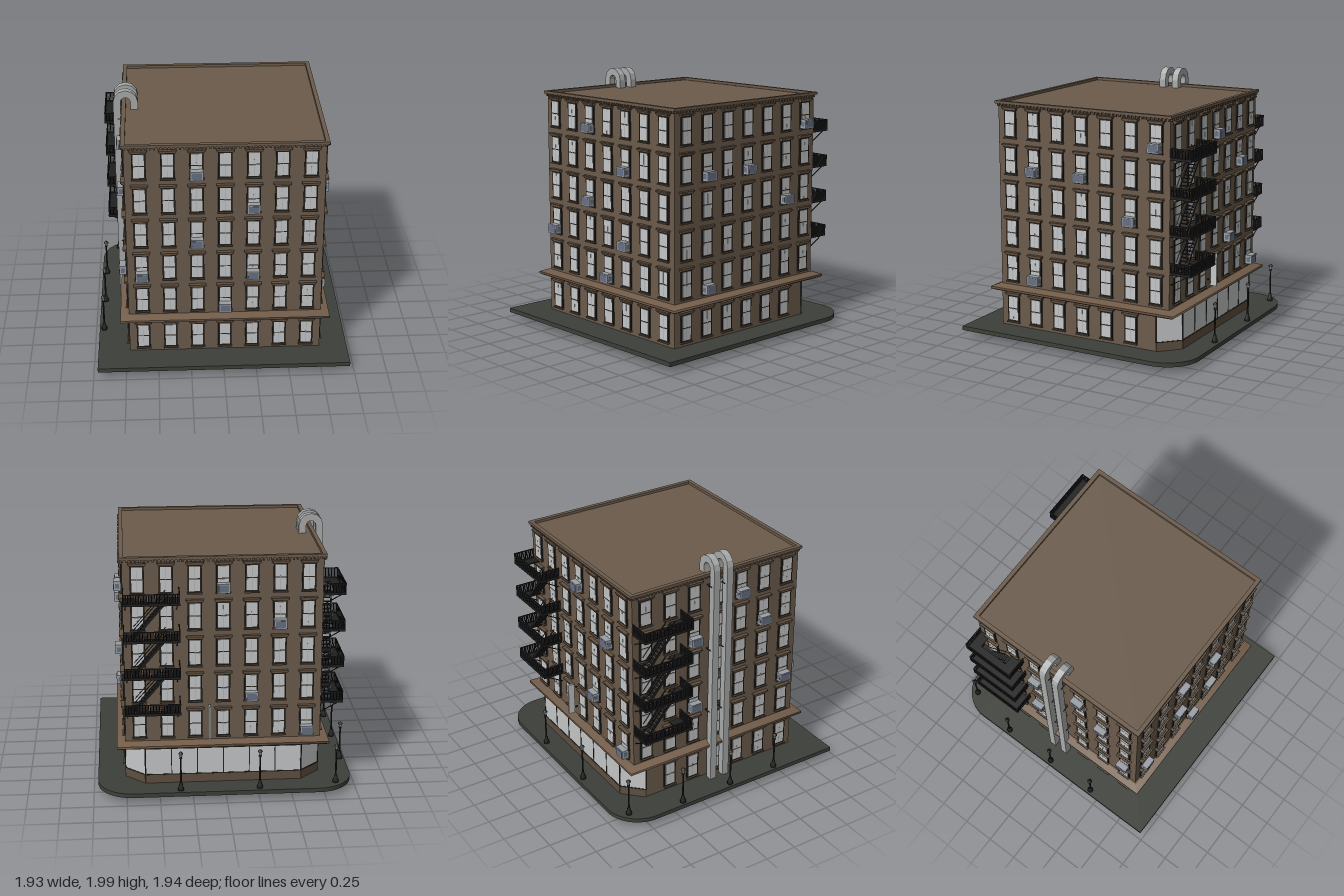
import * as THREE from 'three';
import { mergeGeometries } from 'three/addons/utils/BufferGeometryUtils.js';

const mat = (name, color) => {
  const m = new THREE.MeshStandardMaterial({ color });
  m.name = name;
  return m;
};

export function createModel() {
  const model = new THREE.Group();
  model.name = 'apartmentBlock';
  const brick = mat('brick', 0x6b5b4b), trim = mat('trim', 0x5f4f40), ledge = mat('ledge', 0x735d4a);
  const paving = mat('paving', 0x3d4039), glass = mat('glass', 0xc6c7c8), frame = mat('frame', 0x25231f);
  const iron = mat('iron', 0x1f1f1f), casing = mat('casing', 0x9a9fa5), grille = mat('grille', 0x667084);
  const metal = mat('metal', 0xa9abaa);

  const CX = 0.015, CZ = -0.01, WALL = 0.737; // building centre and half width
  const STEP = 0.2095, FLOOR = 0.2835;

  const box = (w, h, d, x, y, z) => new THREE.BoxGeometry(w, h, d).translate(x, y, z);
  const span = (x0, x1, y0, y1, z0, z1) =>
    box(x1 - x0, y1 - y0, z1 - z0, (x0 + x1) / 2, (y0 + y1) / 2, (z0 + z1) / 2);
  const add = (parent, name, material, geos) => {
    const mesh = new THREE.Mesh(Array.isArray(geos) ? mergeGeometries(geos) : geos, material);
    mesh.name = name;
    parent.add(mesh);
    return mesh;
  };
  // thin bar between two points
  const bar = (a, b, w, d) => {
    const p = new THREE.Vector3(...a), q = new THREE.Vector3(...b);
    const g = new THREE.BoxGeometry(w, d, p.distanceTo(q));
    g.applyMatrix4(new THREE.Matrix4().lookAt(q, p, new THREE.Vector3(0, 1, 0)));
    return g.translate((p.x + q.x) / 2, (p.y + q.y) / 2, (p.z + q.z) / 2);
  };
  // square block tapering from width w0 to w1
  const taper = (w0, w1, y0, y1) =>
    new THREE.CylinderGeometry(w1 * Math.SQRT1_2, w0 * Math.SQRT1_2, y1 - y0, 4, 1)
      .rotateY(Math.PI / 4).toNonIndexed().translate(CX, (y0 + y1) / 2, CZ);
  // floor plan (x, -z) raised from y0 to y1
  const raise = (shape, y0, y1) =>
    new THREE.ExtrudeGeometry(shape, { depth: y1 - y0, bevelEnabled: false, curveSegments: 10 })
      .rotateX(-Math.PI / 2).translate(0, y0, 0);

  // Pavement with two rounded corners at the back
  const plan = new THREE.Shape();
  plan.moveTo(-0.967, -0.967).lineTo(0.967, -0.967).lineTo(0.967, 0.70);
  plan.absarc(0.697, 0.70, 0.27, 0, Math.PI / 2);
  plan.lineTo(-0.697, 0.97);
  plan.absarc(-0.697, 0.70, 0.27, Math.PI / 2, Math.PI);
  plan.closePath();
  add(model, 'pavement', paving, raise(plan, 0.06, 0.093));

  // Fittings under the pavement
  add(model, 'undersidePlate', iron, [box(0.8, 0.006, 0.8, 0, 0.058, 0), box(0.035, 0.02, 0.035, 0, 0.05, 0)]);
  add(model, 'undersideBox', glass, new THREE.CylinderGeometry(0.095, 0.08, 0.05, 4)
    .rotateY(Math.PI / 4).toNonIndexed().translate(-0.57, 0.035, -0.44));
  const strips = [span(-0.14, 0.2, 0.045, 0.049, -0.72, -0.68), span(0.13, 0.2, 0.045, 0.049, -0.68, -0.59),
    span(-0.14, -0.07, 0.045, 0.049, -0.68, -0.62)];
  for (let i = 0; i < 8; i++)
    for (let j = 0; j < 4; j++) strips.push(box(0.03, 0.004, 0.018, -0.55 + i * 0.045, 0.047, -0.72 + j * 0.035));
  add(model, 'undersideStrips', casing, strips);

  // Ground floor with the two back corners cut off
  const cutR = [0.752, -0.64], backR = [0.605, -0.782], backL = [-0.575, -0.782], cutL = [-0.722, -0.64];
  const ground = new THREE.Shape();
  [[-0.722, 0.727], [0.752, 0.727], cutR, backR, backL, cutL]
    .forEach(([x, z], i) => (i ? ground.lineTo(x, -z) : ground.moveTo(x, -z)));
  add(model, 'groundFloor', brick, raise(ground, 0.093, 0.39));
  add(model, 'upperFloors', brick, box(WALL * 2, 1.45, WALL * 2, CX, 1.115, CZ));

  // Shop windows along the back and its cut corners
  const panes = [], bars = [], plinth = [];
  const shop = (p, q, n) => {
    const dx = q[0] - p[0], dz = q[1] - p[1], len = Math.hypot(dx, dz), ang = Math.atan2(-dz, dx);
    const place = (g) => g.rotateY(ang).translate((p[0] + q[0]) / 2, 0, (p[1] + q[1]) / 2);
    panes.push(place(box(len, 0.215, 0.008, 0, 0.267, 0)));
    plinth.push(place(box(len, 0.065, 0.016, 0, 0.126, 0)));
    bars.push(place(box(len, 0.007, 0.014, 0, 0.162, 0)), place(box(len, 0.007, 0.014, 0, 0.374, 0)));
    for (let i = 0; i <= n; i++) bars.push(place(box(0.007, 0.215, 0.014, (i / n - 0.5) * len, 0.267, 0)));
  };
  shop(cutR, backR, 1);
  shop(backR, backL, 6);
  shop(backL, cutL, 1);
  add(model, 'shopGlass', glass, panes);
  add(model, 'shopFrame', frame, bars);
  add(model, 'shopPlinth', trim, plinth);

  // Ledge above the ground floor, and roof cornice
  add(model, 'ledge', ledge, [taper(1.57, 1.605, 0.378, 0.388), taper(1.605, 1.605, 0.388, 0.405),
    taper(1.605, 1.5, 0.405, 0.426)]);
  add(model, 'roof', brick, box(1.46, 0.01, 1.46, CX, 1.84, CZ));
  const rim = new THREE.Shape(), hole = new THREE.Path();
  const square = (s, r) => s.moveTo(CX - r, -CZ - r).lineTo(CX + r, -CZ - r).lineTo(CX + r, -CZ + r)
    .lineTo(CX - r, -CZ + r).closePath();
  square(rim, 0.757);
  square(hole, 0.725);
  rim.holes.push(hole);
  add(model, 'cornice', brick, raise(rim, 1.846, 1.867));

  // One wall's windows, cornice teeth and cooling units, seen from outside
  const wall = (name, turn, groundCols, units, escape) => {
    const g = new THREE.Group();
    g.name = name;
    g.position.set(CX, 0, CZ);
    g.rotation.y = turn;
    model.add(g);
    const frames = [], lights = [], lines = [], hoods = [], teeth = [];
    for (let row = 0; row < 6; row++)
      for (let col = 0; col < 7; col++) {
        if (row === 0 && !groundCols.includes(col)) continue;
        const x = (col - 3) * STEP, y = row ? 0.457 + (row - 1) * FLOOR : 0.128;
        frames.push(box(0.104, 0.212, 0.014, x, y + 0.106, WALL + 0.004));
        for (const dy of [0.058, 0.156]) lights.push(box(0.08, 0.09, 0.004, x, y + dy, WALL + 0.012));
        lines.push(box(0.003, 0.188, 0.004, x, y + 0.107, WALL + 0.0125));
        hoods.push(box(0.116, 0.012, 0.03, x, y + 0.217, WALL + 0.008),
          box(0.132, 0.011, 0.044, x, y + 0.228, WALL + 0.008), box(0.112, 0.009, 0.032, x, y - 0.004, WALL + 0.008));
      }
    for (let i = 0; i < 48; i++)
      teeth.push(box(0.013, 0.02, 0.016, -0.73 + i * (1.46 / 47), 1.837, WALL + 0.007));
    add(g, 'windowFrames', frame, frames);
    add(g, 'windowGlass', glass, lights);
    add(g, 'glazingBars', metal, lines);
    add(g, 'windowHoods', trim, hoods);
    add(g, 'corniceTeeth', trim, teeth);

    const cases = [], faces = [];
    for (const [col, row] of units) {
      const x = (col - 3) * STEP, y = 0.457 + (row - 2) * FLOOR + 0.04;
      cases.push(box(0.096, 0.072, 0.062, x, y, WALL + 0.031));
      faces.push(box(0.076, 0.054, 0.004, x, y, WALL + 0.062));
      for (const s of [-1, 1]) faces.push(box(0.004, 0.036, 0.03, x + s * 0.047, y, WALL + 0.034));
    }
    add(g, 'coolingUnits', casing, cases);
    add(g, 'coolingGrilles', grille, faces);
    if (escape) fireEscape(g);
  };

  // Four landings with railings, braces and stairs
  function fireEscape(parent) {
    const u0 = -0.737, u1 = -0.322, z0 = WALL, z1 = 0.908, parts = [];
    for (let k = 0; k < 4; k++) {
      const y = 0.695 + k * FLOOR, top = y + 0.088;
      parts.push(span(u0, u1, y, y + 0.01, 0.832, z1), span(u0, -0.655, y, y + 0.01, z0, 0.832),
        span(-0.425, u1, y, y + 0.01, z0, 0.832));
      for (const h of [top - 0.006, y + 0.01])
        parts.push(span(u0, u1, h, h + 0.008, z1 - 0.007, z1), span(u0, u0 + 0.007, h, h + 0.008, z0, z1),
          span(u1 - 0.007, u1, h, h + 0.008, z0, z1));
      for (let u = u0 + 0.003; u < u1; u += 0.0115) parts.push(box(0.007, 0.088, 0.004, u, y + 0.044, z1 - 0.003));
      for (let z = z0 + 0.005; z < z1; z += 0.0115)
        for (const u of [u0 + 0.003, u1 - 0.003]) parts.push(box(0.004, 0.088, 0.007, u, y + 0.044, z));
      for (const u of [u0 + 0.02, u1 - 0.02]) parts.push(bar([u, y - 0.08, z0], [u, y, z1 - 0.03], 0.006, 0.006));
      if (k === 3) continue;
      const a = [-0.66, y + 0.01], b = [-0.425, y + FLOOR];
      for (const z of [0.752, 0.826]) {
        parts.push(bar([a[0], a[1], z], [b[0], b[1], z], 0.006, 0.018));
        parts.push(bar([a[0], a[1] + 0.07, z], [b[0], b[1] + 0.07, z], 0.004, 0.006));
      }
      for (let i = 1; i < 12; i++) {
        const t = i / 12;
        parts.push(box(0.022, 0.005, 0.074, a[0] + t * (b[0] - a[0]), a[1] + t * (b[1] - a[1]), 0.789));
      }
    }
    add(parent, 'fireEscape', iron, parts);
  }

  const all = [0, 1, 2, 3, 4, 5, 6];
  wall('frontWall', 0, all, [[2, 6], [4, 5], [2, 4], [0, 3], [4, 3], [3, 2]], false);
  wall('rightWall', Math.PI / 2, all.slice(0, 6), [[6, 6], [1, 5], [3, 5], [5, 4], [1, 2]], false);
  wall('backWall', Math.PI, [], [[3, 6], [5, 5], [4, 3], [6, 2]], true);
  wall('leftWall', -Math.PI / 2, all.slice(1), [[4, 6], [5, 5], [2, 5], [6, 3], [2, 3]], true);

  // Upright blade sign on the back wall
  add(model, 'bladeSign', glass, span(0.113, 0.127, 0.46, 0.72, -0.828, -0.776));
  add(model, 'bladeSignBrackets', iron, [0.5, 0.68].map((y) => span(0.117, 0.123, y, y + 0.008, -0.78, -0.74)));

  // Two ducts that climb the left side and hook over the roof edge
  const duct = new THREE.Shape(), ax = -0.711, ay = 1.906, SEG = 6;
  duct.moveTo(-0.805, 0.093);
  for (let i = 0; i <= SEG; i++) {
    const a = Math.PI * (1 - i / SEG);
    duct.lineTo(ax + 0.094 * Math.cos(a), ay + 0.094 * Math.sin(a));
  }
  duct.lineTo(-0.617, 1.845).lineTo(-0.673, 1.845);
  for (let i = 0; i <= SEG; i++) {
    const a = Math.PI * (i / SEG);
    duct.lineTo(ax + 0.038 * Math.cos(a), ay + 0.038 * Math.sin(a));
  }
  duct.lineTo(-0.749, 0.093).closePath();
  const clamps = [];
  for (const z of [-0.1, 0.015]) {
    add(model, 'duct', metal, new THREE.ExtrudeGeometry(duct, { depth: 0.054, bevelEnabled: false }).translate(0, 0, z));
    for (const y of [0.7, 1.24, 1.77]) clamps.push(span(-0.775, -0.715, y - 0.004, y + 0.004, z - 0.004, z + 0.058));
  }
  add(model, 'ductClamps', iron, clamps);

  // Street lamps
  const post = new THREE.LatheGeometry([[0, 0.09], [0.024, 0.09], [0.022, 0.115], [0.015, 0.125], [0.013, 0.145],
    [0.007, 0.155], [0.006, 0.345], [0.013, 0.352], [0.008, 0.362], [0.012, 0.366], [0, 0.367]]
    .map((p) => new THREE.Vector2(...p)), 8);
  const lantern = new THREE.CylinderGeometry(0.015, 0.01, 0.024, 6).translate(0, 0.378, 0);
  const cap = new THREE.ConeGeometry(0.021, 0.022, 6).translate(0, 0.4, 0);
  for (const [x, z] of [[-0.835, -0.865], [-0.25, -0.925], [0.345, -0.925], [-0.93, -0.44], [-0.93, 0], [-0.93, 0.42]]) {
    const lamp = new THREE.Group();
    lamp.name = 'streetLamp';
    lamp.position.set(x, 0, z);
    add(lamp, 'lampPost', iron, post);
    add(lamp, 'lantern', casing, lantern);
    add(lamp, 'lampCap', iron, cap);
    model.add(lamp);
  }
  return model;
}
